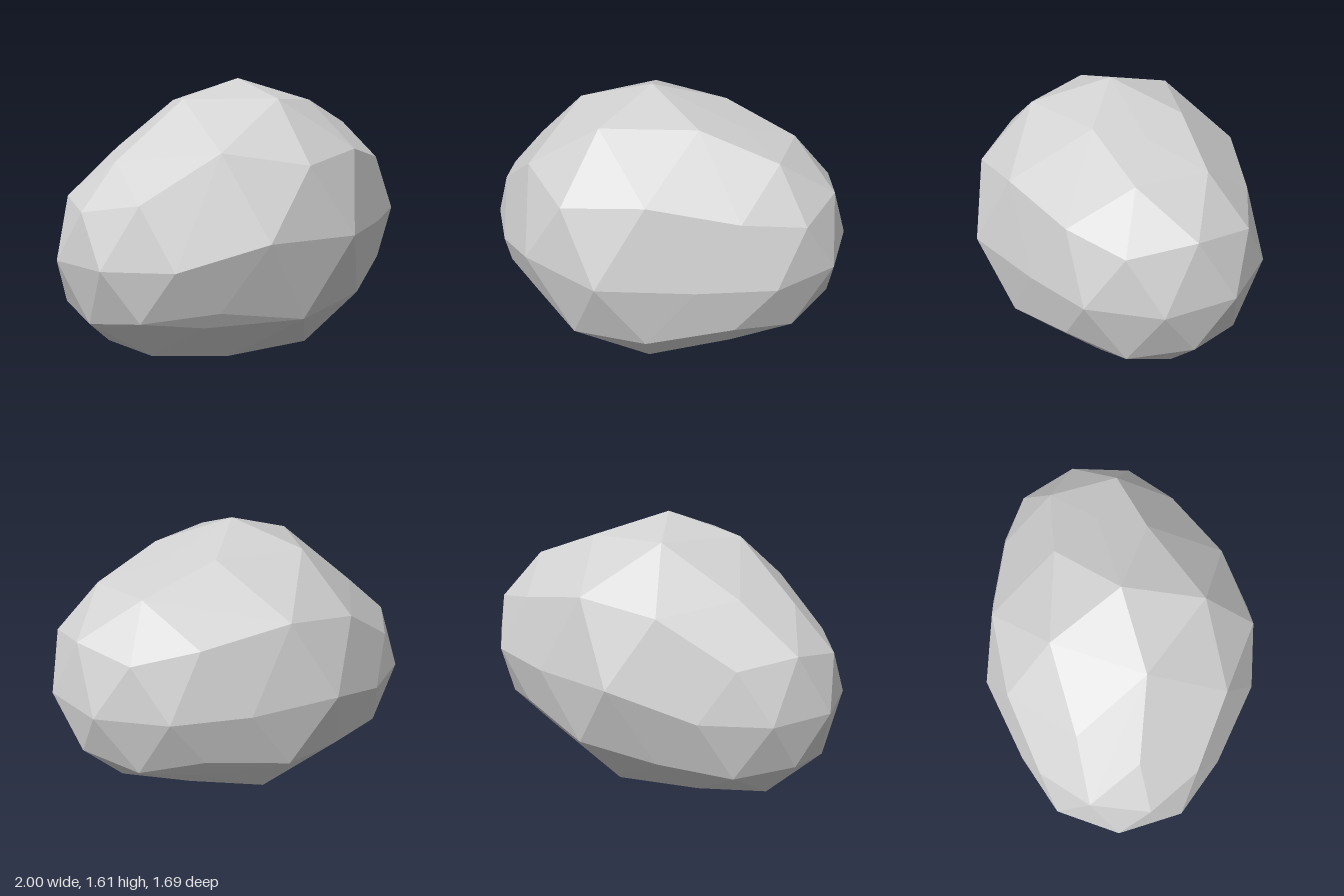
import * as THREE from 'three';
import { ConvexGeometry } from 'three/addons/geometries/ConvexGeometry.js';

// Rows of a once-subdivided icosahedron standing on a pole: [height, first angle, count]
const ROWS = [
  [1, 0, 1], [0.8507, 0, 5], [0.5257, 36, 5], [0.4472, 0, 5], [0, 18, 10],
  [-0.4472, 36, 5], [-0.5257, 0, 5], [-0.8507, 36, 5], [-1, 0, 1],
];

// Corner points of one faceted ball
function ballPoints(x, y, z, radius) {
  const points = [];
  for (const [height, start, count] of ROWS) {
    const ring = Math.sqrt(1 - height * height);
    for (let i = 0; i < count; i++) {
      const a = THREE.MathUtils.degToRad(start + (360 / count) * i);
      points.push(new THREE.Vector3(
        x + radius * ring * Math.cos(a),
        y + radius * height,
        z + radius * ring * Math.sin(a),
      ));
    }
  }
  return points;
}

export function createModel() {
  const group = new THREE.Group();
  group.name = 'boulder';

  const stone = new THREE.MeshStandardMaterial({ color: 0xd1d1d1 });
  stone.name = 'pale stone grey';

  // Rock: one faceted skin stretched over a large ball and two smaller ones
  const rock = new THREE.Mesh(new ConvexGeometry([
    ...ballPoints(0.01, 0.803, 0.04, 0.803),
    ...ballPoints(0.415, 0.83, -0.23, 0.615),
    ...ballPoints(-0.44, 0.67, 0.2, 0.59),
  ]), stone);
  rock.name = 'rock';
  group.add(rock);

  return group;
}
